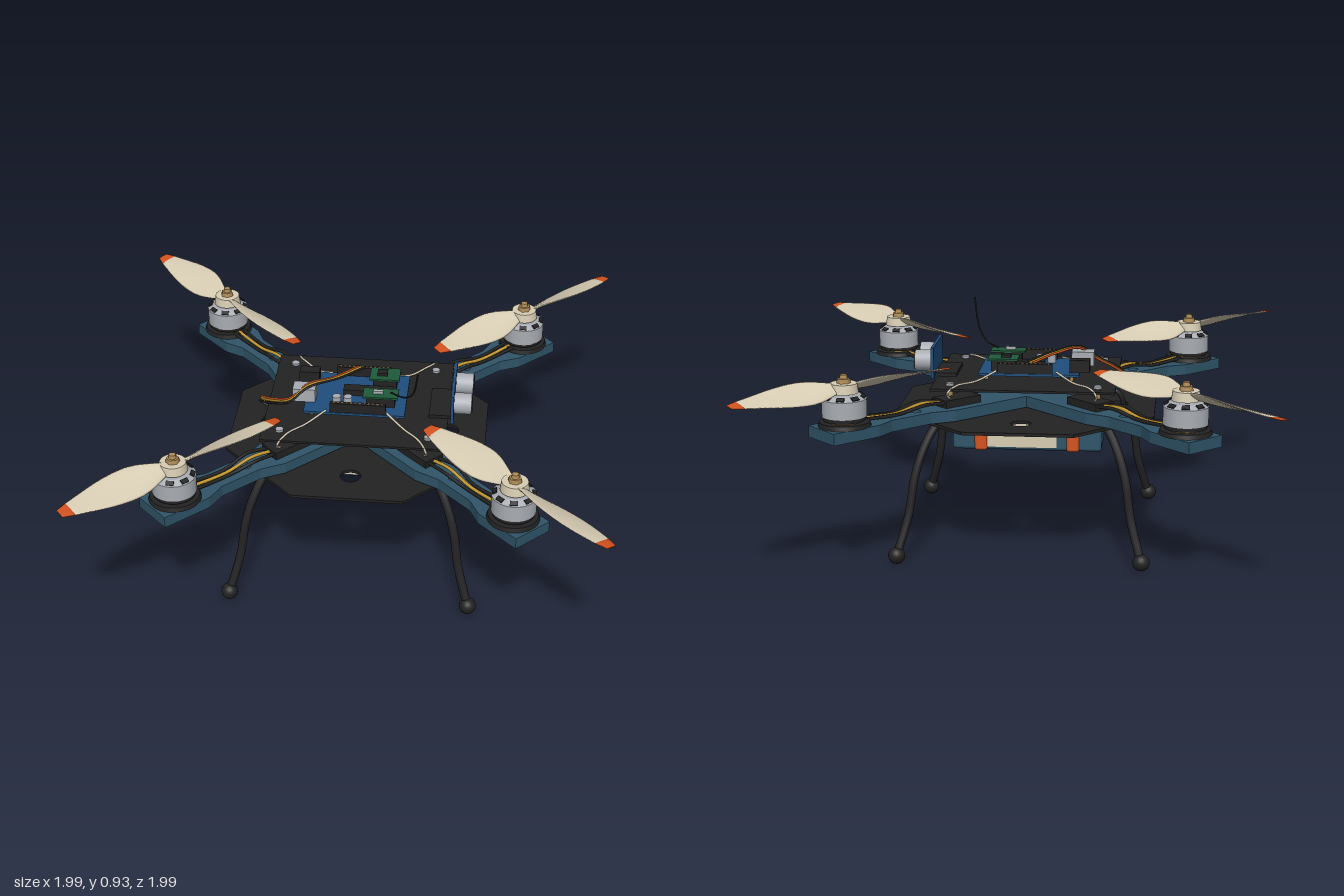
import * as THREE from 'three';
import { RoundedBoxGeometry } from 'three/addons/geometries/RoundedBoxGeometry.js';

const mat = (name, color) => {
  const m = new THREE.MeshStandardMaterial({ color });
  m.name = name;
  return m;
};

export function createModel() {
  const root = new THREE.Group();
  root.name = 'quadcopter';
  const M = {
    frame: mat('frame blue', 0x2f5468), black: mat('carbon black', 0x222222),
    steel: mat('steel', 0xa9adb3), cream: mat('cream', 0xd8cdb4),
    orange: mat('orange', 0xd2521f), brass: mat('brass', 0xb08d57),
    board: mat('board blue', 0x1f4e7d), green: mat('board green', 0x1f5a3a),
    yellow: mat('wire yellow', 0xc99a2e),
  };

  const add = (parent, name, geo, m, x = 0, y = 0, z = 0) => {
    const mesh = new THREE.Mesh(geo, m);
    mesh.name = name;
    mesh.position.set(x, y, z);
    parent.add(mesh);
    return mesh;
  };
  const box = (p, name, m, [w, h, d], [x, y, z]) => add(p, name, new THREE.BoxGeometry(w, h, d), m, x, y, z);
  // Cylinder given by its bottom and top heights
  const cyl = (p, name, m, rTop, rBot, y0, y1, x = 0, z = 0, n = 32) =>
    add(p, name, new THREE.CylinderGeometry(rTop, rBot, y1 - y0, n), m, x, (y0 + y1) / 2, z);
  const tube = (p, name, m, pts, r, n = 24, sides = 6) => add(p, name,
    new THREE.TubeGeometry(new THREE.CatmullRomCurve3(pts.map(q => new THREE.Vector3(...q))), n, r, sides), m);
  // Flat outline in the ground plane, extruded upward from y
  const plate = (p, name, m, pts, y, depth, holes = []) => {
    const s = new THREE.Shape(pts.map(q => new THREE.Vector2(...q)));
    for (const [x, z, r] of holes) {
      const h = new THREE.Path();
      h.absarc(x, z, r, 0, Math.PI * 2, true);
      s.holes.push(h);
    }
    const g = new THREE.ExtrudeGeometry(s, { depth, bevelEnabled: false, curveSegments: 16 });
    g.rotateX(-Math.PI / 2);
    return add(p, name, g, m, 0, y, 0);
  };

  // Lower octagonal plate and upper deck
  const a = 0.51, b = 0.215;
  plate(root, 'lowerPlate', M.black, [[a, -b], [a, b], [b, a], [-b, a], [-a, b], [-a, -b], [-b, -a], [b, -a]],
    0.533, 0.012, [[0.36, 0, 0.04], [-0.36, 0, 0.04], [0, 0.36, 0.04], [0, -0.36, 0.04]]);
  box(root, 'upperDeck', M.black, [0.72, 0.009, 0.64], [0, 0.66, 0]);
  for (const x of [-0.29, 0.29]) for (const z of [-0.25, 0.25]) {
    cyl(root, 'standoff', M.brass, 0.014, 0.014, 0.545, 0.66, x, z, 6);
    cyl(root, 'deckScrew', M.steel, 0.016, 0.016, 0.664, 0.674, x, z, 12);
  }

  // Propeller blade lofted from twisted oval sections between span fractions t0 and t1
  const chordKeys = [0.05, 0.085, 0.118, 0.136, 0.14, 0.136, 0.126, 0.11, 0.092, 0.073, 0.045];
  const bladeGeometry = (t0, t1, spans) => {
    const sides = 14, pos = [], idx = [];
    for (let i = 0; i <= spans; i++) {
      const t = t0 + (t1 - t0) * i / spans;
      const k = Math.min(9, Math.floor(t * 10));
      const chord = THREE.MathUtils.lerp(chordKeys[k], chordKeys[k + 1], t * 10 - k);
      const thick = THREE.MathUtils.lerp(0.016, 0.005, t);
      const pitch = THREE.MathUtils.degToRad(THREE.MathUtils.lerp(36, 8, t));
      for (let j = 0; j < sides; j++) {
        const u = j / sides * Math.PI * 2;
        const c = Math.cos(u) * chord / 2, h = Math.sin(u) * thick / 2;
        pos.push(0.035 + 0.455 * t, c * Math.sin(pitch) + h * Math.cos(pitch), c * Math.cos(pitch) - h * Math.sin(pitch));
      }
    }
    for (let i = 0; i < spans; i++) for (let j = 0; j < sides; j++) {
      const p = i * sides + j, q = i * sides + (j + 1) % sides;
      idx.push(p, q, p + sides, q, q + sides, p + sides);
    }
    const last = spans * sides;
    for (let j = 1; j < sides - 1; j++) {
      idx.push(0, j + 1, j);
      idx.push(last, last + j, last + j + 1);
    }
    // Section order runs from +z to +y, so flip every face outward
    for (let i = 0; i < idx.length; i += 3) [idx[i + 1], idx[i + 2]] = [idx[i + 2], idx[i + 1]];
    const g = new THREE.BufferGeometry();
    g.setAttribute('position', new THREE.Float32BufferAttribute(pos, 3));
    g.setIndex(idx);
    // Keep the winding outward: compare one top face with the up direction
    g.computeVertexNormals();
    if (g.attributes.normal.getY(sides * 2 + Math.round(sides / 4)) < 0) {
      for (let i = 0; i < idx.length; i += 3) [idx[i + 1], idx[i + 2]] = [idx[i + 2], idx[i + 1]];
      g.setIndex(idx);
      g.computeVertexNormals();
    }
    return g;
  };
  const bladeGeo = bladeGeometry(0, 0.9, 24), tipGeo = bladeGeometry(0.9, 1, 4);

  const R = 0.898; // motor distance from the centre
  const half = [[0.03, 0.085], [0.44, 0.085], [0.54, 0.055], [0.72, 0.055], [0.8, 0.085], [1.004, 0.085]];
  const armOutline = [...half.map(([x, z]) => [x, -z]), ...[...half].reverse()];

  for (let i = 0; i < 4; i++) {
    const corner = new THREE.Group();
    corner.name = 'armAssembly';
    corner.rotation.y = Math.PI / 4 + i * Math.PI / 2;
    root.add(corner);

    plate(corner, 'arm', M.frame, armOutline, 0.55, 0.045, [[0.57, 0, 0.022], [0.7, 0, 0.022], [0.975, 0, 0.012]]);

    // Speed controller and motor wires
    box(corner, 'speedController', M.black, [0.17, 0.03, 0.09], [0.37, 0.61, 0]);
    [-0.025, 0, 0.025].forEach((z, k) => tube(corner, 'motorWire', k === 1 ? M.yellow : M.black,
      [[0.44, 0.61, z], [0.54, 0.622, z * 1.3], [0.66, 0.603, z * 0.8], [0.82, 0.61, z]], 0.007));

    // Landing leg
    tube(corner, 'leg', M.black, [[0.42, 0.545, 0], [0.475, 0.52, 0], [0.54, 0.43, 0], [0.58, 0.33, 0],
      [0.61, 0.19, 0], [0.668, 0.04, 0]], 0.017, 32, 10);
    add(corner, 'foot', new THREE.SphereGeometry(0.033, 20, 14), M.black, 0.672, 0.033, 0);

    // Motor
    const motor = new THREE.Group();
    motor.name = 'motor';
    motor.position.x = R;
    corner.add(motor);
    cyl(motor, 'motorBase', M.black, 0.095, 0.1, 0.595, 0.612);
    cyl(motor, 'windings', M.brass, 0.065, 0.065, 0.612, 0.64);
    cyl(motor, 'lowerRing', M.black, 0.08, 0.08, 0.618, 0.632);
    cyl(motor, 'motorCan', M.steel, 0.085, 0.085, 0.632, 0.7);
    cyl(motor, 'motorBell', M.steel, 0.06, 0.085, 0.7, 0.716);
    for (let k = 0; k < 8; k++) {
      const slot = new THREE.Group();
      slot.name = 'bellSlot';
      slot.rotation.y = k * Math.PI / 4;
      motor.add(slot);
      box(slot, 'slotFace', M.black, [0.018, 0.006, 0.03], [0.073, 0.709, 0]).rotation.z = -0.57;
    }
    cyl(motor, 'shaft', M.steel, 0.02, 0.02, 0.716, 0.725);

    // Propeller
    const prop = new THREE.Group();
    prop.name = 'propeller';
    motor.add(prop);
    cyl(prop, 'propHub', M.cream, 0.05, 0.055, 0.722, 0.758);
    cyl(prop, 'propNut', M.brass, 0.024, 0.027, 0.758, 0.775, 0, 0, 6);
    cyl(prop, 'propShaftEnd', M.brass, 0.013, 0.015, 0.775, 0.79, 0, 0, 12);
    for (const turn of [0, Math.PI]) {
      add(prop, 'blade', bladeGeo, M.cream, 0, 0.742, 0).rotation.y = turn;
      add(prop, 'bladeTip', tipGeo, M.orange, 0, 0.742, 0).rotation.y = turn;
    }
  }

  // Battery with labels, straps and lead
  add(root, 'battery', new RoundedBoxGeometry(0.6, 0.15, 0.224, 3, 0.014), M.frame, 0, 0.443, 0);
  for (const z of [-0.113, 0.113]) box(root, 'batteryLabel', M.cream, [0.28, 0.122, 0.006], [0.02, 0.443, z]);
  for (const x of [-0.185, 0.185])
    add(root, 'batteryStrap', new RoundedBoxGeometry(0.052, 0.168, 0.242, 2, 0.012), M.orange, x, 0.45, 0);
  tube(root, 'batteryLead', M.black, [[-0.29, 0.47, 0.03], [-0.34, 0.48, 0.03], [-0.38, 0.53, 0.01], [-0.36, 0.59, 0], [-0.25, 0.61, 0]], 0.01);

  // Flight controller board
  for (const x of [-0.18, 0.16]) for (const z of [-0.125, 0.115]) cyl(root, 'boardSpacer', M.brass, 0.008, 0.008, 0.664, 0.684, x, z, 8);
  box(root, 'controllerBoard', M.board, [0.4, 0.01, 0.3], [-0.01, 0.688, -0.005]);
  box(root, 'usbSocket', M.steel, [0.09, 0.056, 0.062], [-0.215, 0.721, 0.046]);
  box(root, 'powerSocket', M.black, [0.08, 0.05, 0.048], [-0.21, 0.718, -0.09]);
  box(root, 'mainChip', M.black, [0.2, 0.025, 0.045], [0.035, 0.705, -0.01]);
  for (const z of [-0.143, 0.133]) {
    box(root, 'pinHeader', M.black, [0.22, 0.04, 0.018], [0.005, 0.713, z]);
    for (let k = 0; k < 12; k++) box(root, 'pin', M.brass, [0.007, 0.003, 0.007], [-0.09 + k * 0.0173, 0.734, z]);
  }
  for (const x of [-0.085, -0.04]) cyl(root, 'capacitor', M.steel, 0.017, 0.017, 0.693, 0.725, x, 0.07, 16);

  // Plug-in green modules
  for (const [x, z, w, d, chip] of [[0.095, -0.08, 0.12, 0.09, M.black], [0.09, 0.065, 0.14, 0.07, M.steel]]) {
    box(root, 'moduleSocket', M.black, [w * 0.8, 0.044, d * 0.6], [x, 0.715, z]);
    box(root, 'module', M.green, [w, 0.008, d], [x, 0.741, z]);
    box(root, 'moduleChip', chip, [0.04, 0.012, chip === M.black ? 0.035 : 0.016], [x - 0.01, 0.751, z]);
  }
  tube(root, 'antenna', M.black, [[0.13, 0.75, 0.065], [0.185, 0.765, 0.12], [0.225, 0.82, 0.175], [0.245, 0.93, 0.21]], 0.0035);

  // Range sensor facing +x
  box(root, 'sensorBracket', M.black, [0.09, 0.014, 0.2], [0.328, 0.671, 0]);
  box(root, 'sensorBoard', M.board, [0.012, 0.125, 0.265], [0.376, 0.724, 0]);
  for (const z of [-0.075, 0.075]) {
    const eye = new THREE.Group();
    eye.name = 'sensorEye';
    eye.position.set(0.38, 0.724, z);
    eye.rotation.z = -Math.PI / 2;
    root.add(eye);
    cyl(eye, 'eyeBarrel', M.steel, 0.042, 0.042, 0, 0.07);
    cyl(eye, 'eyeMesh', M.black, 0.035, 0.035, 0.068, 0.073);
  }

  // Signal wires from the board to each speed controller
  for (const sx of [-1, 1]) for (const sz of [-1, 1])
    tube(root, 'signalWire', M.cream, [[sx * 0.12, 0.7, sz * 0.14], [sx * 0.19, 0.672, sz * 0.2],
      [sx * 0.26, 0.67, sz * 0.28], [sx * 0.29, 0.65, sz * 0.335], [sx * 0.28, 0.62, sz * 0.3]], 0.0045);

  // Power wires looping over the deck edge
  [[M.yellow, 0], [M.black, 0.018], [M.orange, -0.014]].forEach(([m, o]) => tube(root, 'powerWire', m,
    [[-0.01 + o, 0.735, -0.14], [-0.1 + o, 0.752, -0.02], [-0.2, 0.76, 0.06 + o], [-0.27, 0.71, 0.095 + o],
      [-0.36, 0.675, 0.05 + o], [-0.4, 0.65, o], [-0.36, 0.625, o], [-0.22, 0.615, o]], 0.0045, 40));

  return root;
}
